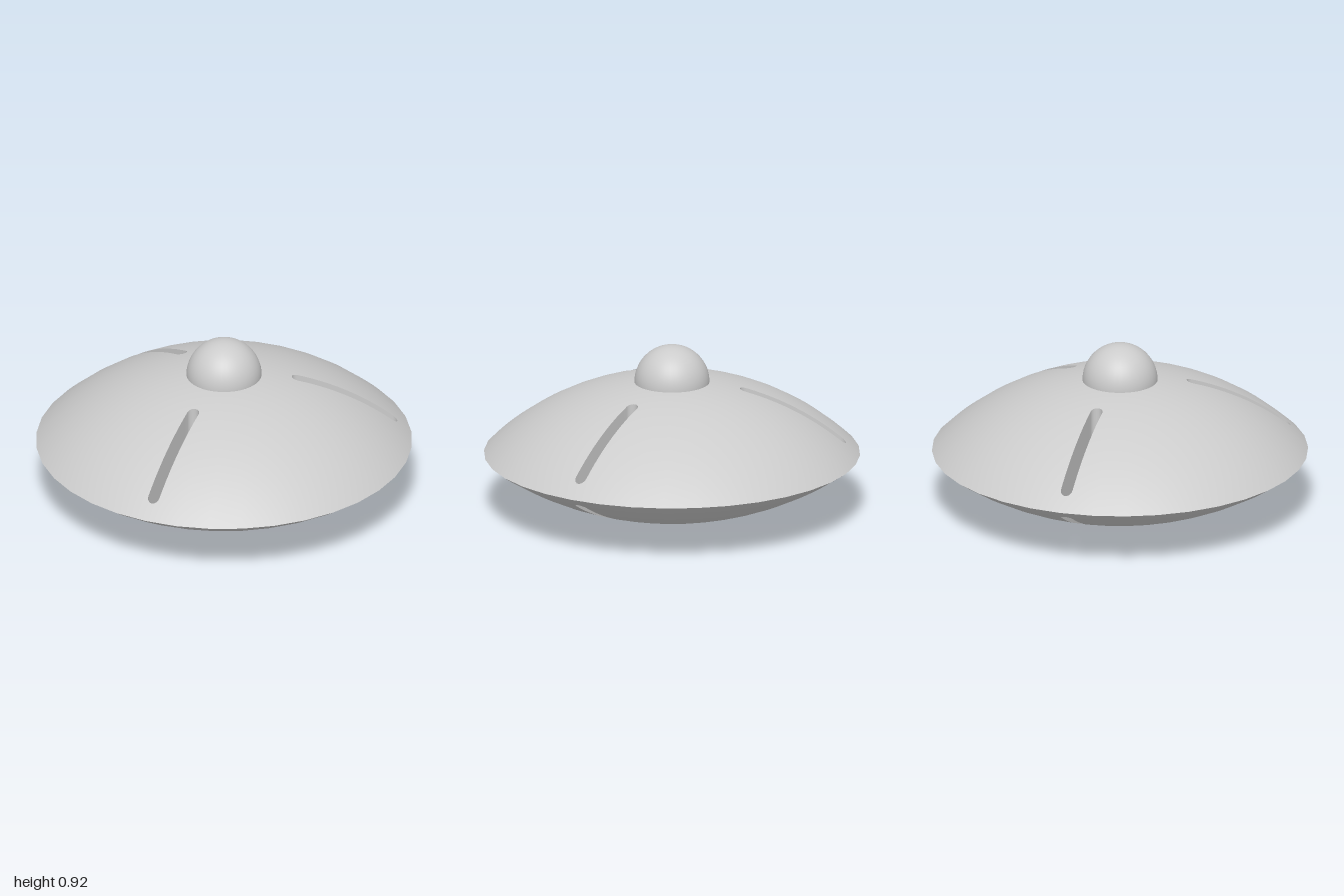
import * as THREE from 'three';

const RIM_Y = 0.325, INNER_R = 0.2;
const SLOT_IN = 0.362, SLOT_OUT = 0.925, SLOT_H = 0.032;
const SLOTS = 3, COLS = 6;

// spherical caps meeting at the rim: apex height, and the side they face
function cap(apex, side) {
  const h = Math.abs(apex - RIM_Y);
  const R = (1 + h * h) / (2 * h);
  const cy = apex - side * R;
  return { side, R, cy, y: r => cy + side * Math.sqrt(R * R - r * r) };
}
const TOP = cap(0.735, 1), BOTTOM = cap(0.01, -1);

// half outline of a slot: distance along its axis, and half width there
function slotHalf() {
  const pts = [], n = 5, steps = 12;
  const a = SLOT_IN + SLOT_H, b = SLOT_OUT - SLOT_H;
  for (let i = 0; i < n; i++) {
    const t = (i / n) * Math.PI / 2;
    pts.push([a - SLOT_H * Math.cos(t), SLOT_H * Math.sin(t)]);
  }
  for (let i = 0; i <= steps; i++) pts.push([a + (b - a) * i / steps, SLOT_H]);
  for (let i = 1; i <= n; i++) {
    const t = (i / n) * Math.PI / 2;
    pts.push([b + SLOT_H * Math.sin(t), i === n ? 0 : SLOT_H * Math.cos(t)]);
  }
  return pts;
}

function geometry(pos, index, normals) {
  const g = new THREE.BufferGeometry();
  g.setAttribute('position', new THREE.Float32BufferAttribute(pos, 3));
  g.setIndex(index);
  if (normals) g.setAttribute('normal', new THREE.Float32BufferAttribute(normals, 3));
  else g.computeVertexNormals();
  return g;
}

// curved skin: each half sector is a grid that starts at the slot edge
function skin(c) {
  const rows = [[INNER_R, 0], [0.25, 0], [0.31, 0], ...slotHalf(), [0.95, 0], [0.975, 0], [1, 0]];
  const pos = [], nor = [], index = [];
  const half = Math.PI / SLOTS;
  for (let k = 0; k < SLOTS; k++) for (const s of [1, -1]) {
    const start = pos.length / 3;
    for (const [u, w] of rows) {
      const r = Math.min(1, Math.hypot(u, w)), a0 = Math.atan2(w, u);
      for (let j = 0; j <= COLS; j++) {
        const phi = 2 * half * k + s * (a0 + (half - a0) * j / COLS);
        const x = r * Math.sin(phi), y = c.y(r), z = -r * Math.cos(phi);
        pos.push(x, y, z);
        nor.push(x / c.R, (y - c.cy) / c.R, z / c.R);
      }
    }
    for (let i = 0; i < rows.length - 1; i++) for (let j = 0; j < COLS; j++) {
      const a = start + i * (COLS + 1) + j, b = a + COLS + 1;
      if (s * c.side > 0) index.push(a, a + 1, b, a + 1, b + 1, b);
      else index.push(a, b, a + 1, a + 1, b, b + 1);
    }
  }
  return geometry(pos, index, nor);
}

// upright wall around a slot, joining the two skins
function slotWall() {
  const half = slotHalf();
  const loop = [...half, ...half.slice(1, -1).reverse().map(([u, w]) => [u, -w])];
  const pos = [], index = [], n = loop.length;
  loop.forEach(([u, w], i) => {
    const r = Math.hypot(u, w);
    pos.push(w, BOTTOM.y(r), -u, w, TOP.y(r), -u);
    const a = 2 * i, b = 2 * ((i + 1) % n);
    index.push(a, a + 1, b + 1, a, b + 1, b);
  });
  return geometry(pos, index);
}

export function createModel() {
  const model = new THREE.Group();
  const material = new THREE.MeshStandardMaterial({ color: 0xcccccc });
  const add = (name, geo, mat = material) => {
    const mesh = new THREE.Mesh(geo, mat);
    mesh.name = name;
    model.add(mesh);
    return mesh;
  };

  add('upperHull', skin(TOP));
  add('lowerHull', skin(BOTTOM));

  const wall = slotWall();
  for (let k = 0; k < SLOTS; k++) {
    add('slotWall' + (k + 1), wall).rotation.y = -k * 2 * Math.PI / SLOTS;
  }

  // cockpit dome
  const dome = add('dome', new THREE.SphereGeometry(0.2, 36, 16, 0, Math.PI * 2, 0, Math.PI / 2));
  dome.position.y = 0.72;

  // base collar and blind bore, one band per straight run so edges stay sharp
  const collar = new THREE.Group();
  collar.name = 'baseCollar';
  const profile = [[0, 0.15], [0.18, 0.15], [0.18, 0], [0.2, 0], [0.2, 0.03]];
  const thin = new THREE.MeshStandardMaterial({ color: 0xcccccc, side: THREE.DoubleSide });
  const names = ['boreCeiling', 'boreWall', 'collarFoot', 'collarSide'];
  names.forEach((name, i) => {
    const pts = [profile[i], profile[i + 1]].map(p => new THREE.Vector2(...p));
    const mesh = new THREE.Mesh(new THREE.LatheGeometry(pts, 36), i === 0 || i === 2 ? thin : material);
    mesh.name = name;
    // lathe faces look outward for a rising profile, inward for a falling one
    collar.add(mesh);
  });
  model.add(collar);

  return model;
}
